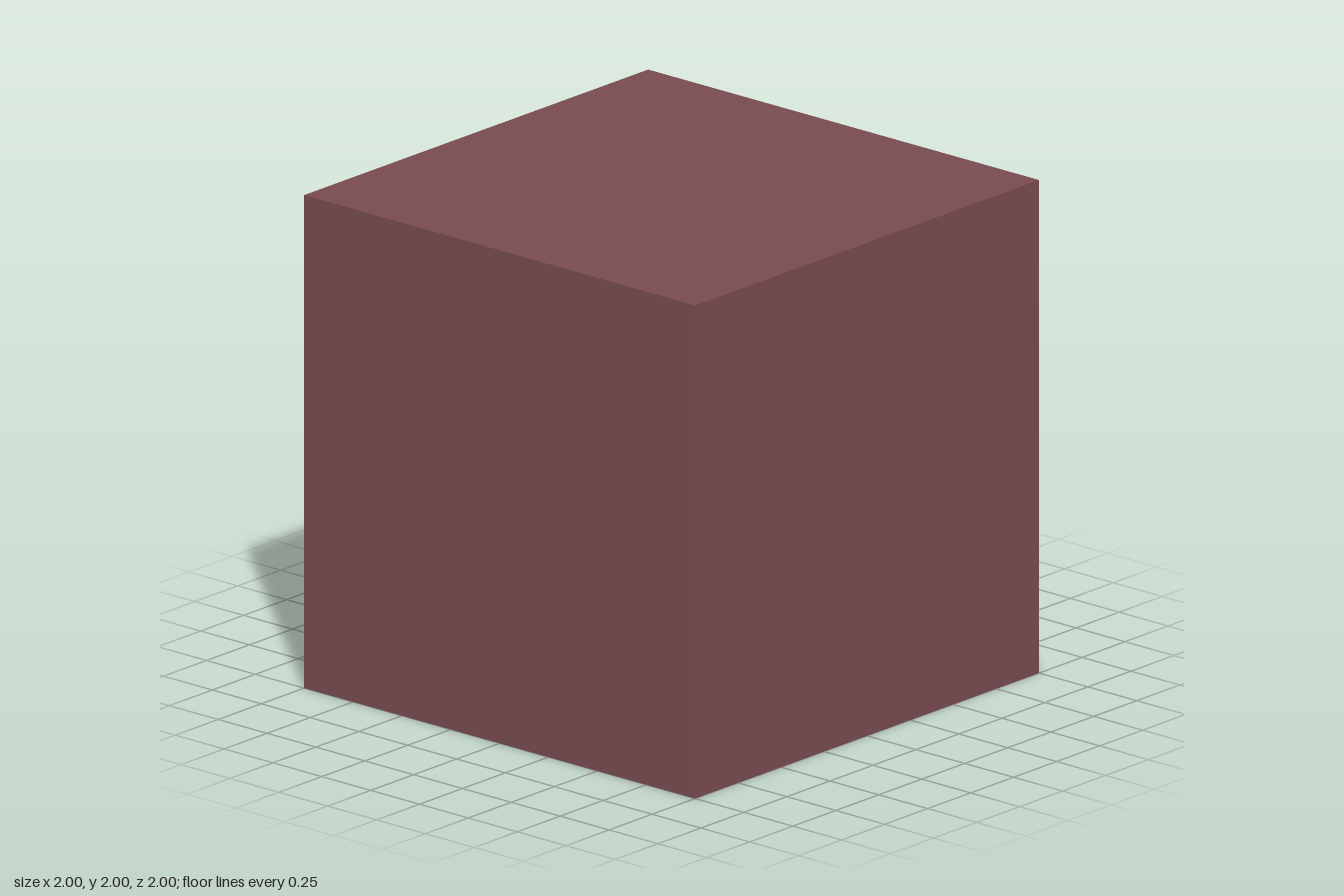
import * as THREE from 'three';
import { ConvexGeometry } from 'three/addons/geometries/ConvexGeometry.js';

// Points where the cracks meet on the surface of the cube
const P = {
  // top edges
  A: [-0.74, 2, 1], B: [0.24, 2, 1], E: [1, 2, -0.08], H: [0.33, 2, -1], I: [-1, 2, 0.165], J: [-1, 2, 0.64],
  // upright and bottom edges
  C: [-1, 0.325, 1], D: [1, 0.67, 1], F: [1, 0.53, -1], L: [-1, 0.57, -1], G: [1, 0, -0.695], K: [0.826, 0, -1],
  // inside the faces: top, front, right, left, back
  T1: [0.385, 2, -0.25], T2: [-0.1, 2, 0.13], N1: [0.33, 0.835, 1], N2: [0.385, 0.845, 1],
  N3: [1, 0.88, 0.01], N4: [1, 0.5, -0.695], Q: [-1, 0.95, -0.076], S: [-1, 1.57, 0.103],
  R: [0.092, 0.8, -1], V: [0.826, 0.42, -1],
  // cube corners
  topFL: [-1, 2, 1], topFR: [1, 2, 1], topBL: [-1, 2, -1], topBR: [1, 2, -1],
  lowFL: [-1, 0, 1], lowFR: [1, 0, 1], lowBL: [-1, 0, -1], lowBR: [1, 0, -1],
};

// Convex chunks of the broken cube
const CHUNKS = {
  frontCornerChunk: 'topFL A J N1 C S Q',
  frontChunk: 'A B T2 I J N1 N2 S',
  frontSideChunk: 'topFR B T2 T1 E D N2 N3',
  backSideChunk: 'topBR H T1 E N3 N4 F V R',
  backChunk: 'topBL H T1 T2 I S Q L R',
  baseChunk: 'lowFL lowFR lowBL C N1 N2 D N3 N4 G K V R L Q',
  baseCornerChunk: 'lowBR F G K N4 V',
};

// The chunks' outlines on the painted +x wall
const WALL = ['topFR D N3 E', 'topBR E N3 N4 F', 'D lowFR G N4 N3', 'N4 G lowBR F'];

// Keeps the part of a convex polygon where sign * p[axis] <= sign * limit
function clip(poly, axis, limit, sign) {
  const out = [];
  poly.forEach((a, i) => {
    const b = poly[(i + 1) % poly.length];
    const da = sign * (limit - a[axis]), db = sign * (limit - b[axis]);
    if (da >= 0) out.push(a);
    if ((da > 0 && db < 0) || (da < 0 && db > 0)) {
      const t = da / (da - db);
      out.push([a[0] + (b[0] - a[0]) * t, a[1] + (b[1] - a[1]) * t]);
    }
  });
  return out;
}

export function createModel() {
  const model = new THREE.Group();
  model.name = 'fracturedHouseBlock';
  const mat = (name, color) => {
    const m = new THREE.MeshStandardMaterial({ color });
    m.name = name;
    return m;
  };
  const stone = mat('mauveStone', 0x784b50);
  const brick = mat('redBrick', 0xa04a48);
  const dark = mat('charcoal', 0x333333);
  const wood = mat('brownWood', 0x5d4e3a);

  // Solid chunks
  for (const [name, keys] of Object.entries(CHUNKS)) {
    const points = keys.split(' ').map((k) => new THREE.Vector3(...P[k]));
    const chunk = new THREE.Mesh(new ConvexGeometry(points), stone);
    chunk.name = name;
    model.add(chunk);
  }

  // A painted rectangle on the +x wall, split along the cracks
  function paint(name, material, layer, z0, z1, y0, y1) {
    const group = new THREE.Group();
    group.name = name;
    for (const keys of WALL) {
      let poly = keys.split(' ').map((k) => [-P[k][2], P[k][1]]);
      poly = clip(poly, 0, -z0, 1);
      poly = clip(poly, 0, -z1, -1);
      poly = clip(poly, 1, y1, 1);
      poly = clip(poly, 1, y0, -1);
      if (poly.length < 3) continue;
      const shape = new THREE.Shape(poly.map((p) => new THREE.Vector2(...p)));
      const geometry = new THREE.ShapeGeometry(shape).rotateY(Math.PI / 2);
      const piece = new THREE.Mesh(geometry, material);
      piece.name = name + 'Piece';
      piece.position.x = 1 + layer * 0.0015;
      group.add(piece);
    }
    model.add(group);
  }

  paint('brickWall', brick, 1, -1, 1, 0, 2);
  paint('window', dark, 2, -0.34, 0.22, 1.255, 1.75);
  paint('door', wood, 2, -0.56, 0.44, 0.09, 0.94);
  paint('plinth', dark, 3, -1, 1, 0, 0.045);
  paint('doorStep', dark, 3, -0.62, 0.5, 0.045, 0.093);
  for (const z of [0.05, -0.165]) paint('doorHandle', dark, 3, z - 0.015, z + 0.015, 0.485, 0.51);

  return model;
}
